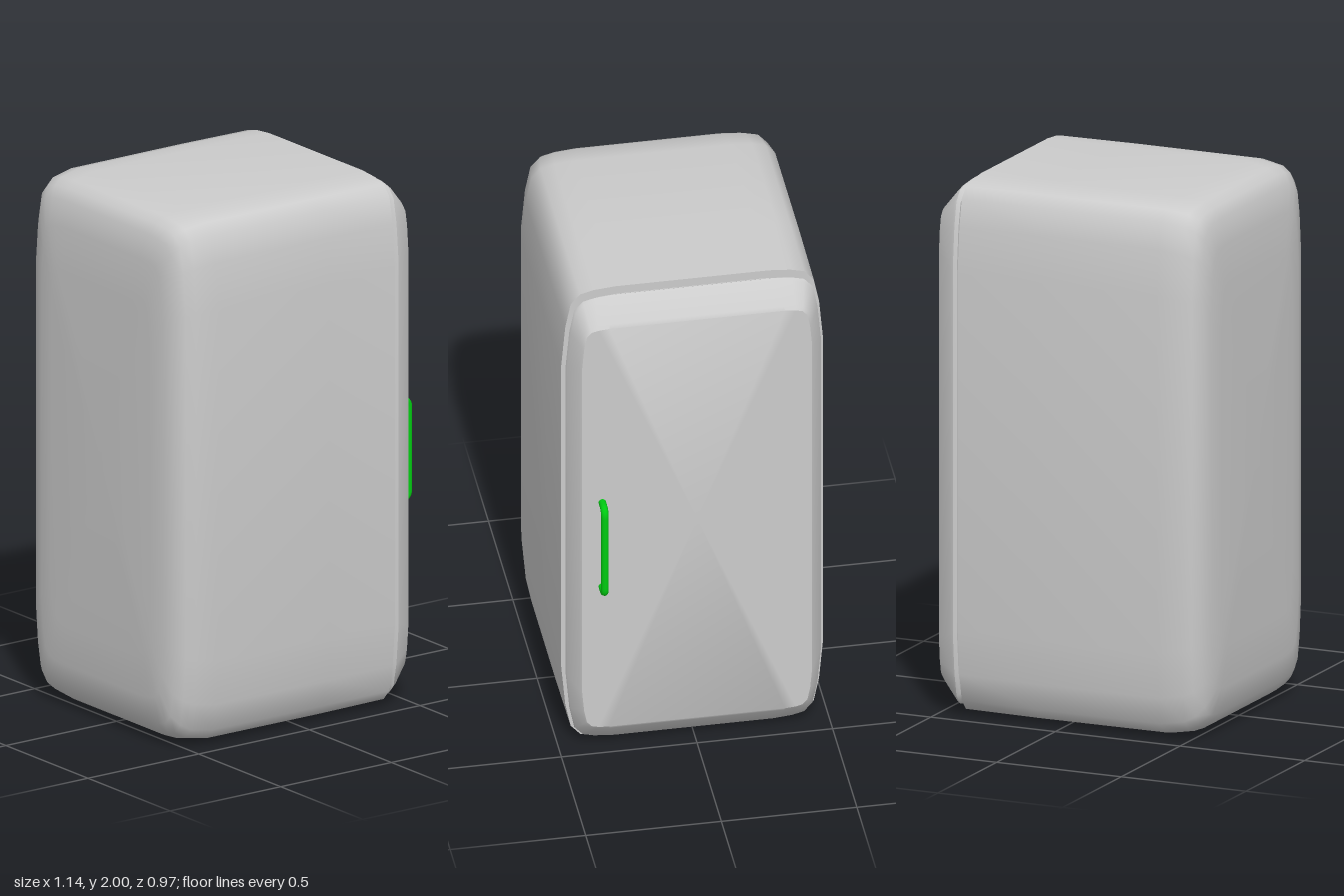
import * as THREE from 'three';
import { toCreasedNormals } from 'three/addons/utils/BufferGeometryUtils.js';

// Corner profile as insets [across z, down y] from the sharp corner
const CORNER = [[0.2, 0], [0.12, 0.007], [0.07, 0.02], [0.035, 0.06], [0.015, 0.16], [0, 0.33]];

// Rounded rectangle outline, counter-clockwise seen from +x
function outline([x, hz, hy, scale]) {
  const quarter = CORNER.map(([dz, dy]) => [hz - dz * scale, hy - dy * scale]);
  const back = [...quarter].reverse();
  return [
    ...quarter.map(([z, y]) => [x, y, z]),
    ...back.map(([z, y]) => [x, -y, z]),
    ...quarter.map(([z, y]) => [x, -y, -z]),
    ...back.map(([z, y]) => [x, y, -z]),
  ];
}

// Skin the outlines in order of increasing x and close both ends
function loft(rings) {
  const n = CORNER.length * 4;
  const last = rings.length - 1;
  const points = rings.flatMap(outline);
  points.push([rings[0][0], 0, 0], [rings[last][0], 0, 0]);
  const index = [];
  for (let j = 0; j < n; j++) {
    const k = (j + 1) % n;
    for (let i = 0; i < last; i++) {
      const a = i * n + j, b = i * n + k;
      index.push(a, b, b + n, a, b + n, a + n);
    }
    index.push(points.length - 2, k, j);
    index.push(points.length - 1, last * n + j, last * n + k);
  }
  const geometry = new THREE.BufferGeometry();
  geometry.setAttribute('position', new THREE.Float32BufferAttribute(points.flat(), 3));
  geometry.setIndex(index);
  geometry.computeVertexNormals();
  return geometry;
}

export function createModel() {
  const model = new THREE.Group();
  const grey = new THREE.MeshStandardMaterial({ color: 0xcccccc });
  const green = new THREE.MeshStandardMaterial({ color: 0x00cc11 });

  const add = (name, geometry, material, y = 1) => {
    const mesh = new THREE.Mesh(geometry, material);
    mesh.name = name;
    mesh.position.y = y;
    model.add(mesh);
  };

  // Rings: [x, half depth, half height, corner scale]
  add('cabinet', toCreasedNormals(loft([
    [-0.573, 0.3, 0.67, 0.5],
    [-0.566, 0.37, 0.83, 0.7],
    [-0.55, 0.425, 0.925, 0.85],
    [-0.525, 0.455, 0.963, 0.95],
    [-0.49, 0.472, 0.985, 1],
    [-0.4, 0.485, 0.999, 1],
    [0.1, 0.485, 1, 1],
    [0.4, 0.483, 0.998, 1],
  ]), 0.9), grey);

  // Recessed seal between cabinet and door
  add('doorSeal', toCreasedNormals(loft([
    [0.39, 0.45, 0.965, 0.9],
    [0.425, 0.45, 0.965, 0.9],
  ]), 0.8), grey);

  // Door with a bevelled rim
  add('door', toCreasedNormals(loft([
    [0.413, 0.462, 0.972, 0.9],
    [0.425, 0.471, 0.98, 0.9],
    [0.436, 0.467, 0.972, 0.87],
    [0.495, 0.431, 0.897, 0.55],
    [0.503, 0.424, 0.885, 0.5],
  ]), 0.6), grey);

  // Bent bar handle
  const path = new THREE.CurvePath();
  const v = (x, y) => new THREE.Vector3(x, y, 0.35);
  const top = 1.117, bottom = 0.743, bar = 0.558, r = 0.03;
  path.add(new THREE.LineCurve3(v(0.49, top), v(bar - r, top)));
  path.add(new THREE.QuadraticBezierCurve3(v(bar - r, top), v(bar, top), v(bar, top - r)));
  path.add(new THREE.LineCurve3(v(bar, top - r), v(bar, bottom + r)));
  path.add(new THREE.QuadraticBezierCurve3(v(bar, bottom + r), v(bar, bottom), v(bar - r, bottom)));
  path.add(new THREE.LineCurve3(v(bar - r, bottom), v(0.49, bottom)));
  add('handle', new THREE.TubeGeometry(path, 64, 0.014, 12), green, 0);

  return model;
}
